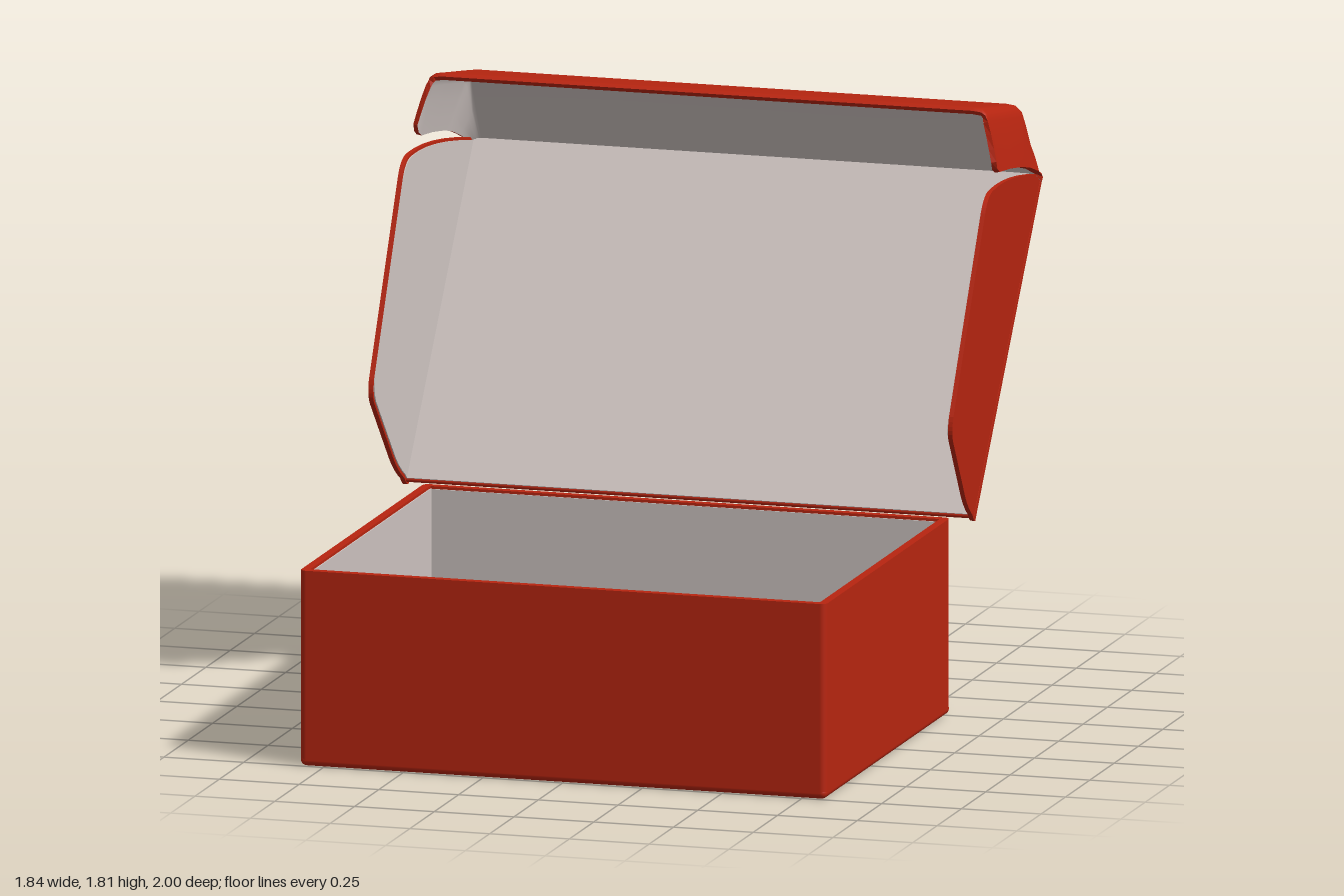
import * as THREE from 'three';
import { RoundedBoxGeometry } from 'three/addons/geometries/RoundedBoxGeometry.js';

const red = new THREE.MeshStandardMaterial({ color: 0xb82510 });
red.name = 'red card';
const grey = new THREE.MeshStandardMaterial({ color: 0xcdc3c0 });
grey.name = 'grey lining';

function add(parent, name, geometry, material) {
  const mesh = new THREE.Mesh(geometry, material);
  mesh.name = name;
  parent.add(mesh);
  return mesh;
}

function roundedRect(hx, hz, r) {
  const s = new THREE.Shape();
  s.absarc(hx - r, hz - r, r, 0, Math.PI / 2);
  s.absarc(-hx + r, hz - r, r, Math.PI / 2, Math.PI);
  s.absarc(-hx + r, -hz + r, r, Math.PI, Math.PI * 1.5);
  s.absarc(hx - r, -hz + r, r, Math.PI * 1.5, Math.PI * 2);
  s.closePath();
  return s;
}

// Upright rectangular ring between y0 and y1
function ring(hx, hz, r, t, y0, y1) {
  const s = roundedRect(hx, hz, r);
  s.holes.push(roundedRect(hx - t, hz - t, 0.004));
  const g = new THREE.ExtrudeGeometry(s, { depth: y1 - y0, bevelEnabled: false, curveSegments: 5 });
  return g.rotateX(-Math.PI / 2).translate(0, y0, 0);
}

// Indexed surface from equal rows of points
function surface(rows, flip) {
  const n = rows[0].length, index = [];
  for (let i = 0; i < rows.length - 1; i++) {
    for (let j = 0; j < n - 1; j++) {
      const a = i * n + j, b = a + 1, c = a + n, d = c + 1;
      if (flip) index.push(a, c, b, b, c, d);
      else index.push(a, b, c, b, d, c);
    }
  }
  const g = new THREE.BufferGeometry().setFromPoints(rows.flat());
  g.setIndex(index);
  g.computeVertexNormals();
  return g;
}

// Thick curved sheet: red outside and edge, grey inside
function sheet(parent, name, rows, t) {
  const n = rows[0].length, m = rows.length;
  const outer = surface(rows, false);
  const normals = outer.attributes.normal;
  const inner = rows.map((row, i) => row.map((p, j) =>
    p.clone().addScaledVector(new THREE.Vector3().fromBufferAttribute(normals, i * n + j), -t)));
  const loop = [];
  for (let j = 0; j < n - 1; j++) loop.push([0, j]);
  for (let i = 0; i < m - 1; i++) loop.push([i, n - 1]);
  for (let j = n - 1; j > 0; j--) loop.push([m - 1, j]);
  for (let i = m - 1; i > 0; i--) loop.push([i, 0]);
  const edge = [];
  loop.forEach(([i, j], k) => {
    const [u, v] = loop[(k + 1) % loop.length];
    const p = rows[i][j], q = rows[u][v], pi = inner[i][j], qi = inner[u][v];
    edge.push(q, p, pi, q, pi, qi);
  });
  const edgeGeometry = new THREE.BufferGeometry().setFromPoints(edge);
  edgeGeometry.computeVertexNormals();
  add(parent, name + 'Outside', outer, red);
  add(parent, name + 'Inside', surface(inner, true), grey);
  add(parent, name + 'Edge', edgeGeometry, red);
}

export function createModel() {
  const model = new THREE.Group();
  model.name = 'openBox';

  // Tray
  const tray = new THREE.Group();
  tray.name = 'tray';
  tray.position.z = 0.36;
  model.add(tray);
  const hx = 0.825, hz = 0.64, wall = 0.026;
  add(tray, 'trayWalls', ring(hx, hz, 0.02, wall, 0.018, 0.6), red);
  add(tray, 'trayBottom', new RoundedBoxGeometry(hx * 2, 0.036, hz * 2, 4, 0.018), red).position.y = 0.018;
  add(tray, 'wallLining', ring(hx - wall, hz - wall, 0.004, 0.004, 0.03, 0.592), grey);
  add(tray, 'floorLining', new THREE.BoxGeometry((hx - wall) * 2, 0.006, (hz - wall) * 2), grey).position.y = 0.037;

  // Lid panel leaning back from the hinge
  const hinge = new THREE.Vector3(0, 0.597, -0.293);
  const length = Math.hypot(0.7, 0.915);
  const panel = new THREE.Group();
  panel.name = 'lidPanel';
  panel.position.copy(hinge);
  panel.rotation.x = -Math.atan2(0.7, 0.915);
  model.add(panel);
  add(panel, 'panelOutside', new RoundedBoxGeometry(1.795, length, 0.016, 3, 0.007), red)
    .position.set(0, length / 2, 0.008);
  add(panel, 'panelLining', new THREE.BoxGeometry(1.76, length - 0.014, 0.004), grey)
    .position.set(0, length / 2, 0.0175);

  // Side flaps, drawn in (z, y), leaning outwards away from the panel
  const flapPoints = (inset) => {
    const s = new THREE.Shape();
    s.moveTo(-0.305, 0.59);
    s.quadraticCurveTo(-0.29, 0.59, -0.27, 0.615);
    s.quadraticCurveTo(-0.21, 0.65, -0.17, 0.7);
    s.lineTo(-0.015, 0.895);
    s.quadraticCurveTo(0.005, 0.925, -0.012, 0.97);
    s.lineTo(-0.325, 1.53);
    s.quadraticCurveTo(-0.355, 1.58, -0.41, 1.582);
    s.quadraticCurveTo(-0.6, 1.595, -0.975, 1.515);
    s.quadraticCurveTo(-1.0, 1.51, -0.985, 1.485);
    s.closePath();
    const centre = new THREE.Vector2(-0.47, 1.15);
    const points = s.getPoints(6).map((p) => p.sub(centre).multiplyScalar(inset).add(centre));
    return new THREE.Shape(points);
  };
  const flapPlate = (side, inset, xMid, depth) => {
    const g = new THREE.ExtrudeGeometry(flapPoints(inset), { depth, bevelEnabled: false });
    g.rotateY(-Math.PI / 2).translate(side * xMid + depth / 2, 0, 0);
    const p = g.attributes.position;
    for (let i = 0; i < p.count; i++) {
      const out = ((p.getZ(i) - hinge.z) * 0.915 + (p.getY(i) - hinge.y) * 0.7) / length;
      p.setX(i, p.getX(i) + side * 0.045 * out);
    }
    g.computeVertexNormals();
    return g;
  };
  for (const side of [1, -1]) {
    const name = side > 0 ? 'left' : 'right';
    add(model, name + 'LidFlap', flapPlate(side, 1, 0.889, 0.014), red);
    add(model, name + 'LidFlapLining', flapPlate(side, 0.982, 0.8805, 0.004), grey);
  }

  // Front flap with folded ears; each station: top z, y and ear bottom z, y
  const stations = [
    [-0.995, 1.505, -0.985, 1.505], [-0.93, 1.63, -0.9, 1.54], [-0.878, 1.725, -0.81, 1.57],
    [-0.865, 1.742, -0.775, 1.578], [-0.842, 1.754, -0.74, 1.587], [-0.68, 1.783, -0.61, 1.609],
    [-0.515, 1.813, -0.495, 1.622], [-0.497, 1.814, -0.47, 1.637], [-0.487, 1.806, -0.461, 1.66],
  ];
  // Half section: x and height fraction
  const half = [[0.914, 0], [0.905, 0.25], [0.893, 0.55], [0.881, 0.8], [0.872, 0.92], [0.858, 0.98], [0.83, 1]];
  const section = [...half, [0.4, 1], [0, 1], [-0.4, 1], ...half.map(([x, f]) => [-x, f]).reverse()];
  const rows = stations.map(([tz, ty, bz, by], i) => section.map(([x, f]) => {
    const spread = i === 0 ? 0.985 : 1;
    return new THREE.Vector3(x * spread, by + (ty - by) * f, bz + (tz - bz) * f);
  }));
  const frontFlap = new THREE.Group();
  frontFlap.name = 'lidFrontFlap';
  model.add(frontFlap);
  sheet(frontFlap, 'frontFlap', rows, 0.016);

  return model;
}
